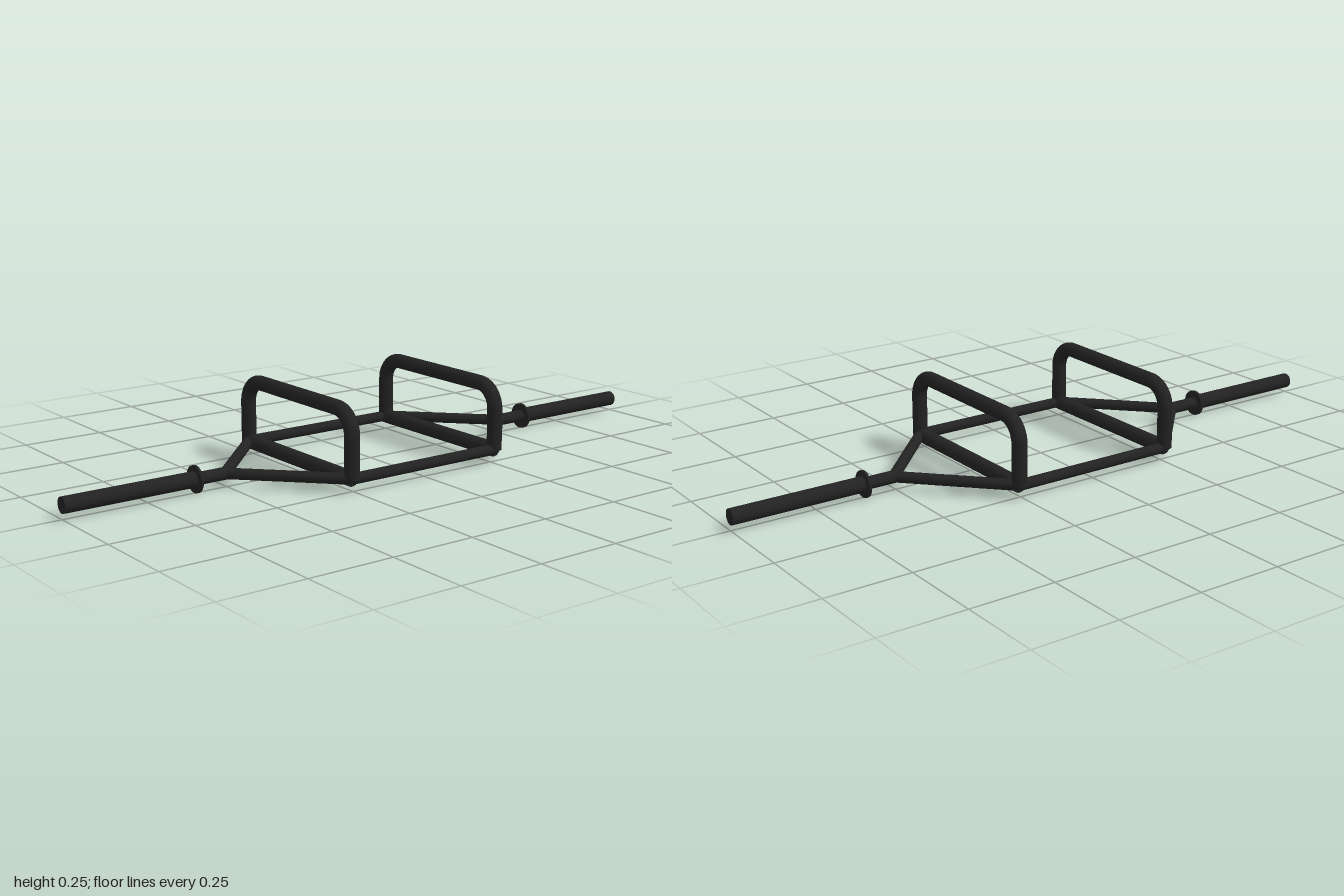
import * as THREE from 'three';

const Y = 0.04;      // height of the frame plane
const HX = 0.258;    // half spacing of the two handles
const HZ = 0.258;    // half width of the frame

export function createModel() {
  const group = new THREE.Group();
  const steel = new THREE.MeshStandardMaterial({ color: 0x222222 });
  steel.name = 'blackSteel';

  const add = (name, geometry) => {
    const mesh = new THREE.Mesh(geometry, steel);
    mesh.name = name;
    group.add(mesh);
    return mesh;
  };

  // Straight capped bar between two points in the frame plane
  const bar = (name, x1, z1, x2, z2, radius) => {
    const a = new THREE.Vector3(x1, Y, z1);
    const b = new THREE.Vector3(x2, Y, z2);
    const mesh = add(name, new THREE.CylinderGeometry(radius, radius, a.distanceTo(b), 32));
    mesh.position.copy(a).add(b).multiplyScalar(0.5);
    mesh.quaternion.setFromUnitVectors(new THREE.Vector3(0, 1, 0), b.sub(a).normalize());
  };

  // Raised handle: two uprights, two rounded bends and a grip
  const handle = (x) => {
    const top = 0.228, bend = 0.068, points = [];
    for (const s of [1, -1]) {
      const arc = [];
      for (let i = 0; i <= 12; i++) {
        const t = (i / 12) * Math.PI / 2;
        arc.push(new THREE.Vector3(x, top - bend + bend * Math.sin(t), s * (HZ - bend + bend * Math.cos(t))));
      }
      arc.unshift(new THREE.Vector3(x, Y, s * HZ));
      points.push(...(s > 0 ? arc : arc.reverse()));
    }
    const path = new THREE.CurvePath();
    for (let i = 1; i < points.length; i++) path.add(new THREE.LineCurve3(points[i - 1], points[i]));
    add('handle', new THREE.TubeGeometry(path, 160, 0.022, 24));
    // Flat caps under the uprights
    for (const s of [1, -1]) {
      const cap = add('handleFootCap', new THREE.CircleGeometry(0.022, 24));
      cap.rotation.x = Math.PI / 2;
      cap.position.set(x, Y, s * HZ);
    }
  };

  for (const s of [1, -1]) {
    // Side rail along x
    bar('sideRail', -HX, s * HZ, HX, s * HZ, 0.016);
    // Cross bar and handle
    bar('crossBar', s * HX, -HZ, s * HX, HZ, 0.022);
    handle(s * HX);
    // Diagonals meeting at the neck
    for (const t of [1, -1]) bar('diagonalBar', s * HX, t * HZ, s * 0.505, 0, 0.016);
    // Neck, stop collar and loading sleeve
    bar('neck', s * 0.49, 0, s * 0.6, 0, 0.018);
    bar('collar', s * 0.596, 0, s * 0.604, 0, 0.039);
    bar('sleeve', s * 0.6, 0, s * 1, 0, 0.023);
  }
  return group;
}
